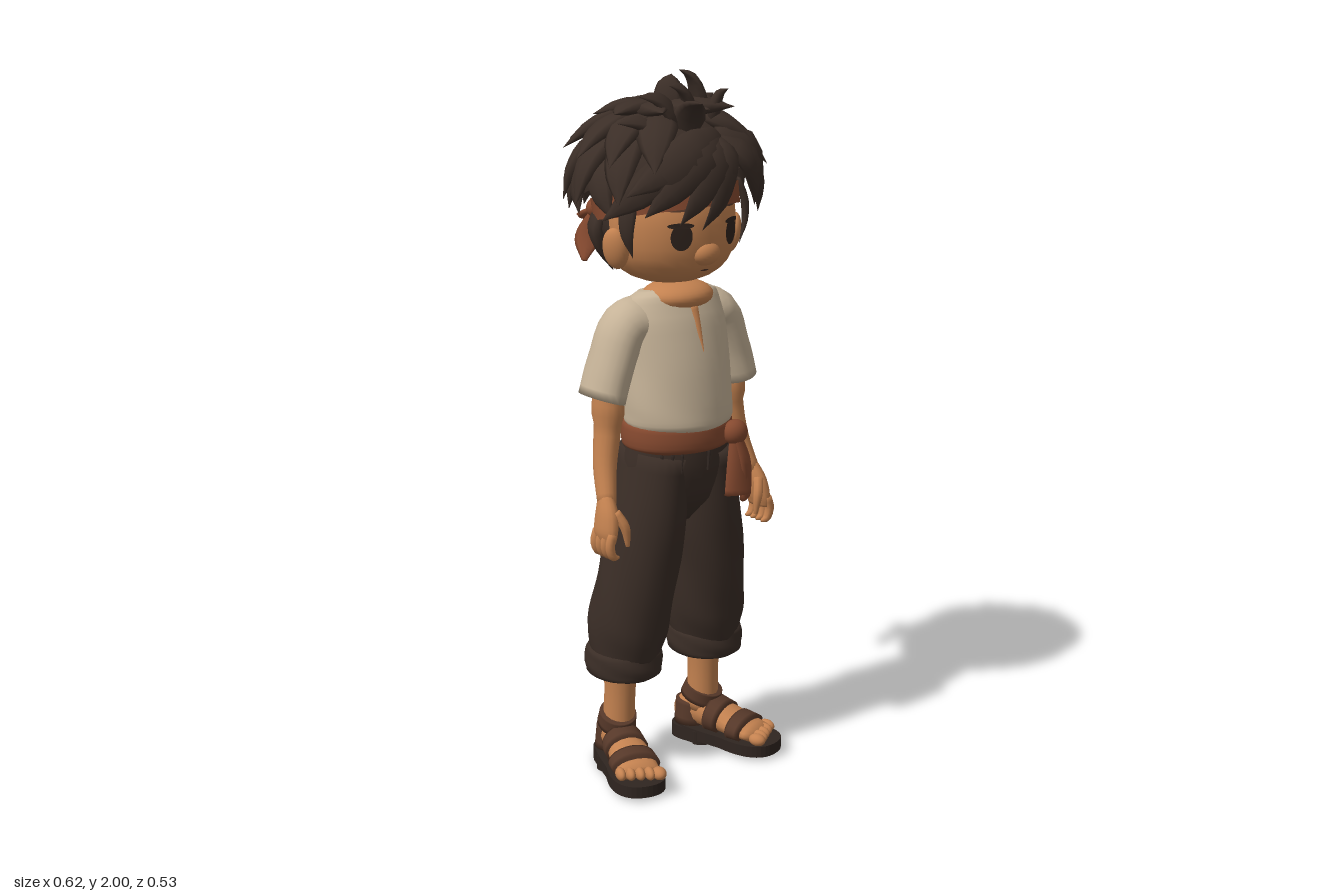
import * as THREE from 'three';
import { mergeGeometries } from 'three/addons/utils/BufferGeometryUtils.js';

const V = (x, y, z) => new THREE.Vector3(x, y, z);
const mat = (name, color, side = THREE.FrontSide) => {
  const m = new THREE.MeshStandardMaterial({ color, side });
  m.name = name;
  return m;
};

// Sweep an ellipse along rows [x, y, z, halfWidth, halfDepth]; ref is the width direction.
function sweep(rows, { ref = V(1, 0, 0), seg = 16, steps = 12, fold = 0 } = {}) {
  const path = new THREE.CatmullRomCurve3(rows.map(r => V(r[0], r[1], r[2])));
  const radii = new THREE.CatmullRomCurve3(rows.map(r => V(r[3], r[4], 0)));
  const pos = [], idx = [];
  for (let i = 0; i <= steps; i++) {
    const t = i / steps, c = path.getPoint(t), T = path.getTangent(t), r = radii.getPoint(t);
    const U = ref.clone().addScaledVector(T, -ref.dot(T)).normalize();
    const W = T.clone().cross(U);
    for (let j = 0; j < seg; j++) {
      const a = j / seg * Math.PI * 2;
      const k = 1 + fold * Math.sin(a * 3 + t * 9) * Math.sin(t * 7 + a);
      const p = c.clone().addScaledVector(U, Math.max(r.x, 0.0005) * k * Math.cos(a))
        .addScaledVector(W, Math.max(r.y, 0.0005) * k * Math.sin(a));
      pos.push(p.x, p.y, p.z);
      if (i < steps) {
        const p0 = i * seg + j, p1 = i * seg + (j + 1) % seg;
        idx.push(p0, p1, p0 + seg, p1, p1 + seg, p0 + seg);
      }
    }
  }
  const n = pos.length / 3, last = steps * seg;
  pos.push(...path.getPoint(0).toArray(), ...path.getPoint(1).toArray());
  for (let j = 0; j < seg; j++) {
    const k = (j + 1) % seg;
    idx.push(n, k, j, n + 1, last + j, last + k);
  }
  const g = new THREE.BufferGeometry();
  g.setAttribute('position', new THREE.Float32BufferAttribute(pos, 3));
  g.setIndex(idx);
  g.computeVertexNormals();
  return g;
}

const ball = (x, y, z, rx, ry, rz, ...arc) =>
  new THREE.SphereGeometry(1, 24, 18, ...arc).scale(rx, ry, rz).translate(x, y, z);

// Hair lock: a flattened, pointed sweep through four points, lying against the head
const CROWN = V(0, 1.7, 0.005), SIZE = V(0.235, 0.21, 0.222);
const THIRDS = [0, 1 / 3, 2 / 3, 1];
function lock(p, w) {
  const ref = p[3].clone().sub(p[0]).cross(p[1].clone().sub(CROWN)).normalize();
  const taper = [0.6, 1, 0.72, 0];
  return sweep(p.map((q, i) => [q.x, q.y, q.z, w * taper[i], w * 0.42 * taper[i]]), { ref, seg: 8, steps: 9 });
}
const onHair = (az, el, k) => V(Math.cos(el) * Math.sin(az), Math.sin(el), Math.cos(el) * Math.cos(az))
  .multiplyScalar(k).multiply(SIZE).add(CROWN);

// Lock that drapes over the hair volume from root to tip
const drape = (root, tip, w) => lock(THIRDS.map(t => {
  const p = root.clone().lerp(tip, t);
  return t % 1 ? p.sub(CROWN).divide(SIZE).setLength(1.12).multiply(SIZE).add(CROWN) : p;
}), w);
// Lock that rises first and then curls sideways to its tip
const tuft = (root, tip, w) => lock(THIRDS.map(t => {
  const p = root.clone().lerp(tip, t * t);
  p.y = root.y + (tip.y - root.y) * Math.sin(t * Math.PI / 2);
  return p;
}), w);

// Face outline rule, shared by the head and the plates laid on it
const fullness = t => (t < 0 ? 1 + 0.35 * t * t : 1);
function faceZ(x, y) {
  const t = (y - 1.6) / 0.175;
  return 0.03 + 0.175 * Math.sqrt(Math.max(0, (1 - t * t) * fullness(t) ** 2 - (x / 0.185) ** 2));
}
function facePlate(x, y, rx, ry, tilt = 0) {
  const g = new THREE.CircleGeometry(1, 20).scale(rx, ry, 1).rotateZ(tilt).translate(x, y, 0);
  const p = g.attributes.position;
  for (let i = 0; i < p.count; i++) p.setZ(i, faceZ(p.getX(i), p.getY(i)) + 0.005);
  g.computeVertexNormals();
  return g;
}

// Rounded slab for sandal soles, from heel z0 to toe z1
function slab(z0, z1, w, y0, y1) {
  const s = new THREE.Shape(), m = (z0 + z1) / 2;
  s.moveTo(0, z0);
  s.bezierCurveTo(w, z0, w * 0.85, m - 0.03, w * 0.9, m + 0.02);
  s.bezierCurveTo(w * 1.2, z1 - 0.06, w * 0.9, z1, 0, z1);
  s.bezierCurveTo(-w * 0.9, z1, -w * 1.2, z1 - 0.06, -w * 0.9, m + 0.02);
  s.bezierCurveTo(-w * 0.85, m - 0.03, -w, z0, 0, z0);
  return new THREE.ExtrudeGeometry(s, { depth: y1 - y0, bevelEnabled: false })
    .rotateX(Math.PI / 2).translate(0, y1, 0);
}

function hairLocks() {
  const locks = [], jitter = i => Math.sin(i * 12.9898) * 0.5;
  // Rings from the crown: count, root and tip elevation, tip scale, width, gap over the face
  [[9, 1.4, 0.75, 1.2, 0.058, 0], [12, 1.15, 0.3, 1.27, 0.058, 0.45],
    [13, 0.75, -0.08, 1.29, 0.056, 0.85], [14, 0.35, -0.38, 1.17, 0.052, 1.25]].forEach(([n, e0, e1, k, w, gap], ring) => {
    for (let i = 0; i < n; i++) {
      const az = (i + 0.5 * (ring % 2)) / n * Math.PI * 2 - Math.PI, q = jitter(i + ring * 20);
      if (Math.abs(az) < gap) continue;
      const flare = k + 0.12 * q + 0.03 * Math.cos(az) - 0.93;
      locks.push(lock(THIRDS.map(t => onHair(az + (0.4 * q + 0.2) * t, e0 + (e1 + 0.25 * q - e0) * t,
        0.93 + 0.08 * Math.sin(Math.PI * t) + flare * t ** 2.3)), w));
    }
  });
  // Nape
  for (let i = 0; i < 9; i++) {
    const a = Math.PI * (0.62 + 0.095 * i), drop = 0.185 + 0.04 * jitter(i);
    locks.push(lock(THIRDS.map(t => {
      const r = 0.16 + 0.03 * Math.sin(t * 4);
      return V((r + 0.01) * Math.sin(a), 1.64 - drop * t, (r - 0.01) * Math.cos(a));
    }), 0.042));
  }
  // Fringe tips, swept from a parting on the left
  const part = V(0.05, 1.83, 0.17);
  [[-0.2, 1.64, 0.18], [-0.11, 1.615, 0.215], [-0.035, 1.595, 0.215], [0, 1.66, 0.225], [-0.26, 1.7, 0.18],
    [-0.28, 1.63, 0.1], [0.165, 1.64, 0.19], [0.22, 1.61, 0.14], [0.295, 1.67, 0.08]]
    .forEach(tip => locks.push(drape(part, V(...tip), 0.034 + 0.08 * Math.abs(tip[0]))));
  // Upstanding tufts
  [[0.09, 0.05, 0.015, 2, 0.05], [-0.04, 0.1, -0.16, 1.945, 0.1], [0.02, 0.1, -0.08, 1.97, 0.13],
    [0.02, -0.01, 0.05, 1.98, -0.03], [0.1, 0, 0.19, 1.92, -0.02], [-0.02, 0.13, -0.05, 1.93, 0.23],
    [-0.1, 0.08, -0.23, 1.88, 0.1], [0.09, 0.1, 0.12, 1.95, 0.13]]
    .forEach(([x, z, ...tip]) => locks.push(tuft(V(x, 1.84, z), V(...tip), 0.044)));
  // Sideburns in front of the ears
  for (const s of [1, -1])
    locks.push(lock(THIRDS.map(t => V(s * (0.18 + 0.025 * Math.sin(t * 3)), 1.7 - 0.18 * t, 0.105)), 0.026));
  return mergeGeometries(locks);
}

export function createModel() {
  const root = new THREE.Group();
  root.name = 'boy';
  const skin = mat('skin', 0xc48250), hair = mat('hair', 0x3b2e27, THREE.DoubleSide), linen = mat('linen', 0xc6b398);
  const cloth = mat('trouser cloth', 0x3a2d26), red = mat('sash cloth', 0x85492f, THREE.DoubleSide);
  const leather = mat('leather', 0x563829), rubber = mat('sole', 0x2f2520), dark = mat('eye', 0x2f231d);
  const add = (name, g, m, parent = root) => {
    const mesh = new THREE.Mesh(g, m);
    mesh.name = name;
    parent.add(mesh);
  };

  // Head and face
  const head = ball(0, 0, 0, 1, 1, 1), hp = head.attributes.position;
  for (let i = 0; i < hp.count; i++) {
    const y = hp.getY(i), f = fullness(y);
    hp.setXYZ(i, hp.getX(i) * f * 0.185, 1.6 + y * 0.175, 0.03 + hp.getZ(i) * f * 0.175);
  }
  head.computeVertexNormals();
  add('head', head, skin);
  add('nose', ball(0, 1.525, 0.182, 0.045, 0.034, 0.034), skin);
  add('neck', sweep([[0, 1.48, 0.035, 0.055, 0.055], [0, 1.42, 0.04, 0.055, 0.055], [0, 1.36, 0.04, 0.075, 0.06]]), skin);
  add('collarSkin', ball(0, 1.392, 0.062, 0.105, 0.044, 0.09), skin);
  add('mouth', facePlate(0, 1.478, 0.014, 0.003), leather);
  for (const s of [1, -1]) {
    add('eye', facePlate(s * 0.084, 1.577, 0.027, 0.037), dark);
    add('eyelash', facePlate(s * 0.086, 1.607, 0.033, 0.008), dark);
    add('eyebrow', facePlate(s * 0.085, 1.65, 0.033, 0.006, -s * 0.05), leather);
    add('ear', ball(0, 0, 0, 0.026, 0.058, 0.038).rotateZ(-s * 0.2).rotateY(-s * 0.4).translate(s * 0.2, 1.54, 0.05), skin);
  }

  // Hair
  add('hairCap', new THREE.SphereGeometry(1, 28, 14, 0, Math.PI * 2, 0, Math.PI / 2).rotateX(-0.32)
    .scale(0.228, 0.2, 0.21).translate(0, 1.7, 0.003), hair);
  add('backHair', ball(0, 1.61, 0, 0.186, 0.155, 0.155, Math.PI, Math.PI), hair);
  add('hairLocks', hairLocks(), hair);

  // Headband, higher on the brow, with a knot and tails behind
  add('headband', new THREE.CylinderGeometry(1, 0.99, 0.06, 40, 1, true).scale(0.207, 1, 0.198)
    .rotateX(-0.2).translate(0, 1.645, 0.01), red);
  add('headbandKnot', ball(-0.08, 1.605, -0.2, 0.032, 0.03, 0.028), red);
  for (const [x, y, z] of [[-0.04, 1.5, -0.24], [-0.14, 1.465, -0.18], [-0.075, 1.57, -0.265]])
    add('headbandTail', sweep([[-0.08, 1.6, -0.2, 0.014, 0.01],
      [(x - 0.08) / 2, (y + 1.58) / 2, (z - 0.23) / 2, 0.036, 0.012], [x, y, z, 0.008, 0.006]], { seg: 8, ref: V(0.75, 0, 0.65) }), red);

  // Shirt
  add('shirtBody', sweep([[0, 1.41, 0.035, 0.1, 0.07], [0, 1.39, 0.038, 0.14, 0.088], [0, 1.32, 0.045, 0.16, 0.11],
    [0, 1.2, 0.06, 0.16, 0.125], [0, 1.1, 0.065, 0.163, 0.135], [0, 1.05, 0.067, 0.161, 0.138],
    [0, 1.03, 0.067, 0.15, 0.128]], { seg: 32, steps: 24, fold: 0.012 }), linen);
  add('neckSlit', sweep([[0, 1.37, 0.134, 0.016, 0.007], [0, 1.31, 0.157, 0.009, 0.006],
    [0.003, 1.25, 0.174, 0.001, 0.004]], { seg: 8 }), skin);

  // Trouser seat and sash
  add('trouserSeat', sweep([[0, 1, 0.06, 0.155, 0.12], [0, 0.92, 0.058, 0.17, 0.127], [0, 0.83, 0.052, 0.16, 0.112],
    [0, 0.755, 0.05, 0.09, 0.06]], { seg: 28 }), cloth);
  for (const x of [-0.12, -0.095, -0.07, 0.015]) {
    const z = 0.06 + 0.127 * Math.sqrt(1 - (x / 0.167) ** 2);
    add('waistPleat', sweep([[x, 0.97, z, 0.004, 0.006], [x - 0.006, 0.915, z, 0.001, 0.005]], { seg: 6, steps: 4 }), rubber);
  }
  add('sash', sweep([[0, 1.045, 0.062, 0.15, 0.122], [0, 1.038, 0.062, 0.163, 0.136], [0, 1.005, 0.062, 0.167, 0.14],
    [0, 0.982, 0.062, 0.165, 0.138], [0, 0.97, 0.062, 0.155, 0.126]], { seg: 32 }), red);
  add('sashKnot', ball(0.105, 1.008, 0.19, 0.038, 0.036, 0.032), red);
  for (const [x, y, z, turn] of [[0.15, 0.815, 0.185, -0.75], [0.1, 0.83, 0.208, 0.2]])
    add('sashTail', sweep([[0.105, 1, 0.195, 0.02, 0.014], [(x + 0.11) / 2, 0.92, 0.2, 0.032, 0.018],
      [x, y, z, 0.04, 0.014]], { seg: 10, ref: V(1, 0, turn).normalize() }), red);

  for (const s of [1, -1]) {
    const prefix = s > 0 ? 'left' : 'right';
    const limb = (name, rows, m, opt) => add(prefix + name, sweep(rows.map(([x, ...r]) => [x * s, ...r]), opt), m);

    // Sleeve, arm and hand
    limb('Sleeve', [[0.09, 1.34, 0.037, 0.052, 0.075], [0.155, 1.32, 0.032, 0.064, 0.076], [0.203, 1.22, 0.028, 0.06, 0.077],
      [0.233, 1.125, 0.026, 0.06, 0.079]], linen, { seg: 20, fold: 0.015 });
    limb('Arm', [[0.215, 1.17, 0.03, 0.036, 0.042], [0.217, 1.05, 0.03, 0.036, 0.042], [0.236, 0.94, 0.042, 0.032, 0.036],
      [0.258, 0.84, 0.08, 0.025, 0.028]], skin);
    limb('Palm', [[0.257, 0.865, 0.072, 0.02, 0.024], [0.266, 0.81, 0.09, 0.027, 0.042], [0.273, 0.77, 0.095, 0.025, 0.046],
      [0.274, 0.74, 0.095, 0.016, 0.04]], skin);
    for (let i = 0; i < 4; i++) {
      const z = 0.062 + 0.023 * i;
      limb('Finger', [[0.277, 0.77, z, 0.013, 0.013], [0.286, 0.735, z, 0.014, 0.013], [0.275, 0.705, z, 0.012, 0.012],
        [0.256, 0.7, z, 0.004, 0.004]], skin, { seg: 8, steps: 8 });
    }
    limb('Thumb', [[0.256, 0.825, 0.115, 0.014, 0.016], [0.238, 0.785, 0.135, 0.014, 0.014],
      [0.229, 0.728, 0.136, 0.006, 0.006]], skin, { seg: 8, steps: 8 });

    // Trouser leg, rolled cuff and ankle
    limb('TrouserLeg', [[0.075, 0.96, 0.06, 0.085, 0.122], [0.1, 0.75, 0.05, 0.104, 0.126], [0.122, 0.6, 0.04, 0.108, 0.121],
      [0.138, 0.46, 0.016, 0.113, 0.124], [0.147, 0.35, 0.004, 0.096, 0.108]], cloth, { seg: 24, steps: 20, fold: 0.03 });
    limb('TrouserCuff', [[0.148, 0.38, 0.003, 0.09, 0.096], [0.148, 0.37, 0.003, 0.106, 0.114], [0.148, 0.335, 0.004, 0.111, 0.118],
      [0.148, 0.305, 0.004, 0.106, 0.114], [0.148, 0.295, 0.004, 0.09, 0.098]], cloth, { seg: 24, fold: 0.025 });
    limb('KneeFold', [[0.06, 0.46, -0.07, 0.014, 0.014], [0.135, 0.45, -0.098, 0.034, 0.026], [0.21, 0.475, -0.06, 0.014, 0.014]],
      cloth, { ref: V(0, 1, 0), seg: 12 });
    limb('Ankle', [[0.152, 0.33, -0.006, 0.05, 0.052], [0.154, 0.22, -0.008, 0.044, 0.047], [0.156, 0.1, -0.015, 0.046, 0.052]], skin);

    // Foot and sandal, turned outward
    const foot = new THREE.Group();
    foot.name = prefix + 'Foot';
    foot.position.set(s * 0.157, 0, -0.018);
    foot.rotation.y = s * 0.31;
    root.add(foot);
    add('footSkin', sweep([[0, 0.075, -0.072, 0.036, 0.035], [0, 0.09, -0.02, 0.046, 0.055], [0, 0.086, 0.06, 0.053, 0.046],
      [0, 0.07, 0.14, 0.063, 0.032], [0, 0.06, 0.205, 0.06, 0.02]]), skin, foot);
    for (let i = 0; i < 5; i++)
      add('toe', ball(s * (i * 0.026 - 0.048), 0.062, 0.228 - i * 0.008, i ? 0.014 : 0.02, 0.018, 0.026), skin, foot);
    add('sole', slab(-0.088, 0.265, 0.077, 0.012, 0.046), rubber, foot);
    add('heel', slab(-0.09, 0.07, 0.067, 0, 0.04), rubber, foot);
    const strap = (name, a, b) => add(name, sweep([[0, ...a], [0, ...b]], { steps: 4, seg: 24 }), leather, foot);
    strap('toeStrap', [0.07, 0.127, 0.07, 0.043], [0.066, 0.173, 0.071, 0.037]);
    strap('instepStrap', [0.088, 0.042, 0.061, 0.058], [0.08, 0.09, 0.064, 0.049]);
    strap('ankleStrap', [0.166, 0.01, 0.053, 0.058], [0.126, -0.003, 0.056, 0.064]);
    strap('heelStrap', [0.115, -0.03, 0.05, 0.052], [0.045, -0.032, 0.056, 0.054]);
  }
  return root;
}
